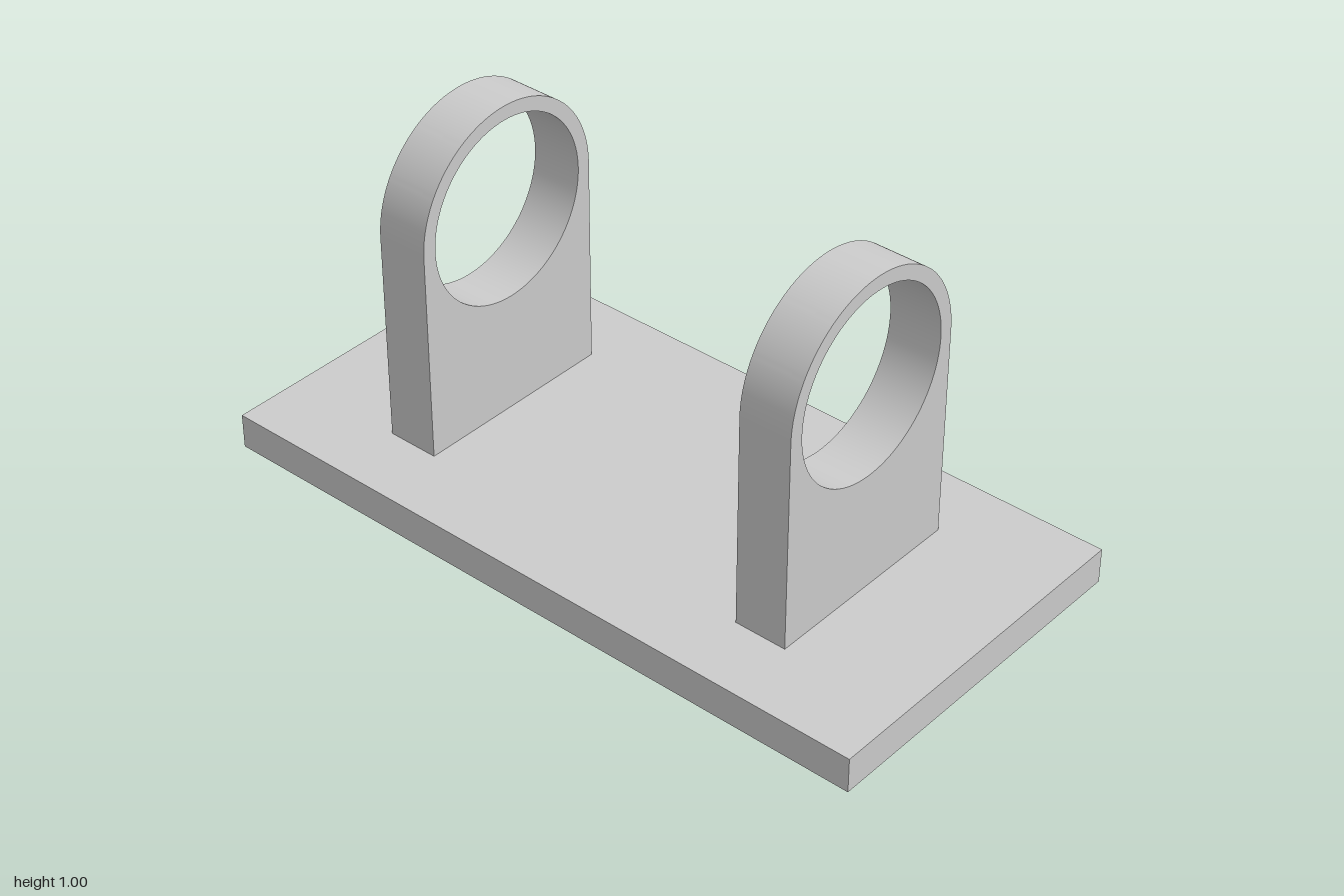
import * as THREE from 'three';
import { toCreasedNormals } from 'three/addons/utils/BufferGeometryUtils.js';

const BASE_HEIGHT = 0.1;
const RING_Y = 0.7;      // height of the bore axis
const OUTER_R = 0.3;
const BORE_R = 0.26;
const THICKNESS = 0.15;
const BRACKET_X = 0.575; // middle of each bracket

// Upright plate with a round top and a bore, extruded along x
function bracketGeometry() {
  const shape = new THREE.Shape();
  shape.moveTo(-OUTER_R, BASE_HEIGHT);
  shape.lineTo(OUTER_R, BASE_HEIGHT);
  shape.lineTo(OUTER_R, RING_Y);
  shape.absarc(0, RING_Y, OUTER_R, 0, Math.PI, false);
  shape.closePath();

  const bore = new THREE.Path();
  bore.absarc(0, RING_Y, BORE_R, 0, Math.PI * 2, true);
  shape.holes.push(bore);

  const geometry = new THREE.ExtrudeGeometry(shape, {
    depth: THICKNESS, bevelEnabled: false, curveSegments: 48,
  });
  geometry.translate(0, 0, -THICKNESS / 2);
  geometry.rotateY(Math.PI / 2);
  return toCreasedNormals(geometry, Math.PI / 6);
}

export function createModel() {
  const model = new THREE.Group();
  model.name = 'bearingStand';
  const material = new THREE.MeshStandardMaterial({ color: 0xcccccc });

  // Base plate
  const base = new THREE.Mesh(new THREE.BoxGeometry(2, BASE_HEIGHT, 1), material);
  base.name = 'basePlate';
  base.position.y = BASE_HEIGHT / 2;
  model.add(base);

  // Pair of ring brackets
  const geometry = bracketGeometry();
  for (const [name, side] of [['leftBracket', 1], ['rightBracket', -1]]) {
    const bracket = new THREE.Mesh(geometry, material);
    bracket.name = name;
    bracket.position.x = side * BRACKET_X;
    model.add(bracket);
  }
  return model;
}
